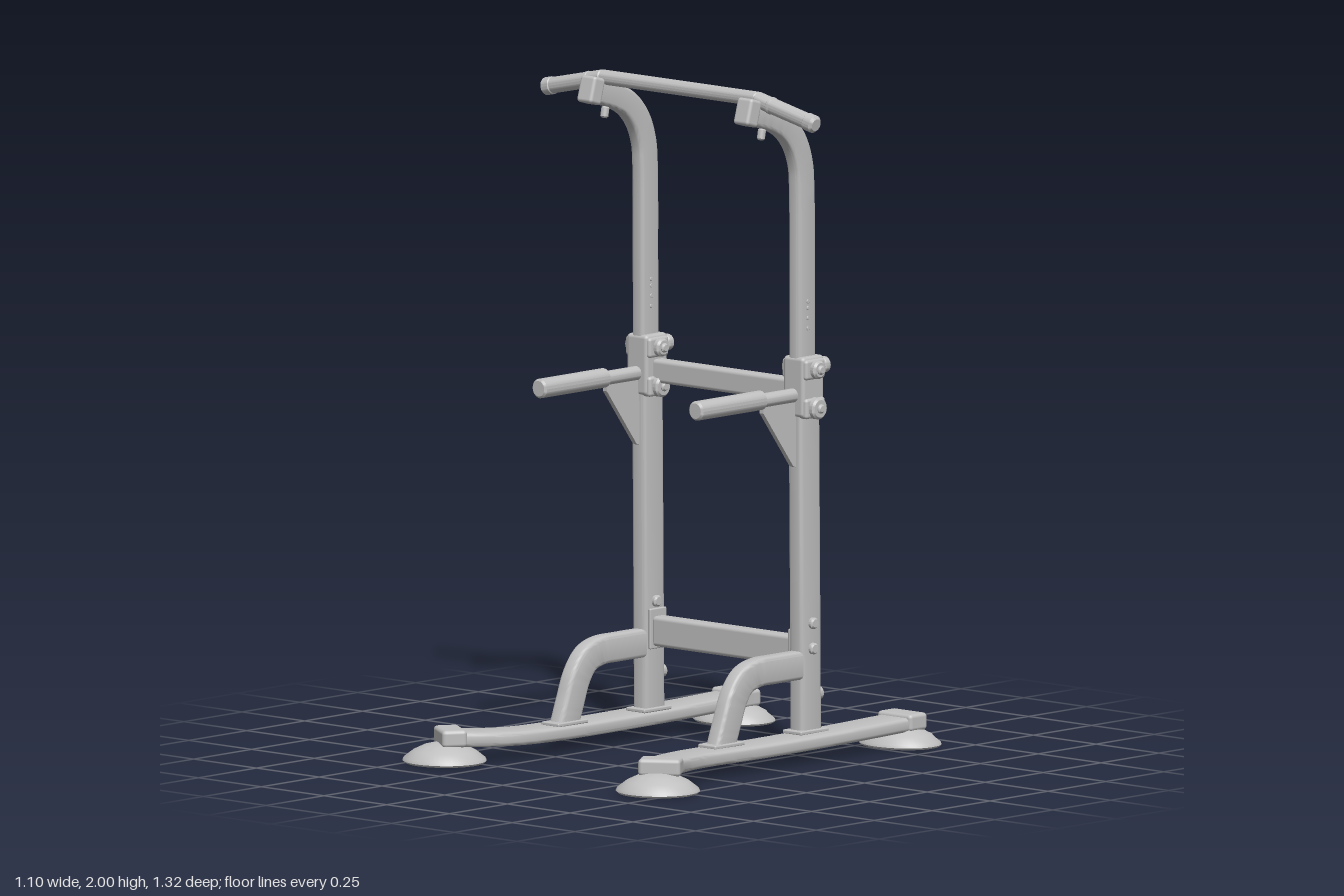
import * as THREE from 'three';
import { toCreasedNormals } from 'three/addons/utils/BufferGeometryUtils.js';
import { RoundedBoxGeometry } from 'three/addons/geometries/RoundedBoxGeometry.js';

const steel = new THREE.MeshStandardMaterial({ color: 0xc0c0c0 });
steel.name = 'grey steel';
const V = (x, y, z) => new THREE.Vector3(x, y, z);

export function createModel() {
  const model = new THREE.Group();
  model.name = 'powerTower';

  function add(name, geometry, x = 0, y = 0, z = 0) {
    const mesh = new THREE.Mesh(geometry, steel);
    mesh.name = name;
    mesh.position.set(x, y, z);
    model.add(mesh);
    return mesh;
  }

  function box(name, w, h, d, x, y, z, r = 0.008) {
    return add(name, new RoundedBoxGeometry(w, h, d, 2, r), x, y, z);
  }

  // Round bar between two points, with softened ends
  function rod(name, a, b, r, bevel = 0.005) {
    const len = a.distanceTo(b);
    const profile = [[0, 0], [r - bevel, 0], [r, bevel], [r, len - bevel], [r - bevel, len], [0, len]]
      .map(([x, y]) => new THREE.Vector2(x, y));
    const mesh = add(name, toCreasedNormals(new THREE.LatheGeometry(profile, 20), 0.6), a.x, a.y, a.z);
    mesh.quaternion.setFromUnitVectors(V(0, 1, 0), b.clone().sub(a).normalize());
    return mesh;
  }

  // Rounded rectangular tube along a smooth path; h is measured along ref, w across it
  function tube(name, points, w, h, ref, steps = 40, r = 0.012) {
    const path = new THREE.CatmullRomCurve3(points, false, 'centripetal');
    const section = [];
    [[1, 1], [-1, 1], [-1, -1], [1, -1]].forEach(([sx, sy], corner) => {
      for (let i = 0; i <= 3; i++) {
        const t = (corner + i / 3) * Math.PI / 2;
        section.push([sx * (w / 2 - r) + r * Math.cos(t), sy * (h / 2 - r) + r * Math.sin(t)]);
      }
    });
    const n = section.length, pos = [], index = [];
    for (let k = 0; k <= steps; k++) {
      const p = path.getPointAt(k / steps), t = path.getTangentAt(k / steps);
      const a = ref.clone().cross(t).normalize(), b = t.clone().cross(a);
      for (const [u, v] of section) {
        const q = p.clone().addScaledVector(a, u).addScaledVector(b, v);
        pos.push(q.x, q.y, q.z);
      }
    }
    for (let k = 0; k < steps; k++) for (let j = 0; j < n; j++) {
      const a = k * n + j, b = k * n + (j + 1) % n;
      index.push(a, b, b + n, a, b + n, a + n);
    }
    const last = steps * n;
    for (let j = 1; j < n - 1; j++) index.push(0, j + 1, j, last, last + j, last + j + 1);
    const g = new THREE.BufferGeometry();
    g.setAttribute('position', new THREE.Float32BufferAttribute(pos, 3));
    g.setIndex(index);
    return add(name, toCreasedNormals(g, 0.7), 0, 0, 0);
  }

  // Low rubber dome; rule reshapes its outline
  function foot(name, x, z, rule) {
    const profile = [[0, 0], [0.95, 0], [1, 0.006], [0.97, 0.014], [0.75, 0.035], [0.5, 0.05], [0.25, 0.058], [0, 0.06]]
      .map(([r, y]) => new THREE.Vector2(r, y));
    const g = new THREE.LatheGeometry(profile, 48), p = g.attributes.position;
    for (let i = 0; i < p.count; i++) {
      const [nx, nz] = rule(p.getX(i), p.getZ(i));
      p.setX(i, nx);
      p.setZ(i, nz);
    }
    add(name, toCreasedNormals(g, 0.6), x, 0, z);
  }

  const X = V(1, 0, 0), Y = V(0, 1, 0);

  for (const s of [1, -1]) {
    const px = s * 0.312, rx = s * 0.331;

    // Lower post, and narrower upper post curving forward at the top
    tube('lowerPost', [V(px, 0.06, -0.221), V(px, 0.6, -0.217), V(px, 1.16, -0.212)], 0.088, 0.054, X, 4);
    tube('upperPost', [V(px, 1.1, -0.206), V(px, 1.4, -0.205), V(px, 1.7, -0.203), V(px, 1.765, -0.197),
      V(px, 1.83, -0.173), V(px, 1.883, -0.128), V(px, 1.913, -0.075), V(px, 1.932, -0.02), V(px, 1.944, 0.025)],
      0.076, 0.046, X, 60);
    box('topEndCap', 0.06, 0.08, 0.05, px, 1.944, 0.03, 0.01).rotation.x = -0.28;
    rod('barBolt', V(px, 1.89, -0.033), V(px, 1.855, -0.026), 0.012);

    // Base rail with an outward sweep at the front
    tube('baseRail', [V(rx, 0.066, -0.62), V(rx, 0.06, -0.3), V(rx, 0.058, 0), V(rx, 0.06, 0.24),
      V(s * 0.343, 0.062, 0.34), V(s * 0.376, 0.066, 0.44), V(s * 0.425, 0.072, 0.53)], 0.12, 0.042, Y, 50);
    box('rearRailCap', 0.136, 0.052, 0.076, rx, 0.071, -0.617, 0.012);
    box('frontRailCap', 0.126, 0.052, 0.076, s * 0.419, 0.074, 0.521, 0.012).rotation.y = s * 0.6;

    // Rubber feet
    foot('frontFoot', s * 0.425, 0.54, (x, z) => [x * 0.126, z * 0.121]);
    foot('rearFoot', rx, -0.605, (x, z) => [x * 0.132, Math.max(z * (z > 0 ? 0.105 : 0.12), -0.058)]);

    // Curved brace from post to rail
    tube('brace', [V(px, 0.282, -0.19), V(px, 0.282, -0.08), V(px, 0.28, 0), V(px, 0.262, 0.053),
      V(px, 0.215, 0.092), V(px, 0.14, 0.122), V(px, 0.06, 0.152)], 0.084, 0.052, X, 40);
    box('braceFootPlate', 0.07, 0.012, 0.13, px, 0.084, 0.143, 0.004);
    box('postFootPlate', 0.075, 0.012, 0.12, px, 0.084, -0.22, 0.004);

    // Adjustable clamp collar: two blocks with side knobs and a rear pin
    box('clampSleeve', 0.082, 0.18, 0.094, px, 1.108, -0.212, 0.012);
    for (const [y, r] of [[1.16, 0.027], [1.045, 0.032]]) {
      box('clampBlock', 0.1, 0.06, 0.085, px, y, -0.212, 0.01);
      rod('clampBolt', V(px - 0.068, y, -0.212), V(px + 0.068, y, -0.212), r, 0.006);
      rod('clampBoltTip', V(px - 0.076, y, -0.212), V(px + 0.076, y, -0.212), 0.014);
    }
    rod('rearPin', V(px, 1.16, -0.25), V(px, 1.16, -0.29), 0.013);
    rod('rearPinKnob', V(px, 1.16, -0.283), V(px, 1.16, -0.308), 0.024);

    // Dip handle with gusset plate
    rod('dipArm', V(px, 1.083, -0.17), V(px, 1.083, 0), 0.021);
    rod('dipGrip', V(px, 1.085, -0.03), V(px, 1.085, 0.257), 0.029, 0.006);
    const web = new THREE.Shape([[0.17, 1.07], [0.17, 0.87], [0.158, 0.875], [0.03, 1.045], [0.03, 1.07]]
      .map(([x, y]) => new THREE.Vector2(x, y)));
    const webGeometry = new THREE.ExtrudeGeometry(web, { depth: 0.016, bevelEnabled: false });
    webGeometry.translate(0, 0, -0.008).rotateY(Math.PI / 2);
    add('dipGusset', webGeometry, px, 0, 0);

    // Lower bolts, crossbar flange and height holes
    for (const y of [0.405, 0.33]) rod('postBolt', V(px - 0.04, y, -0.22), V(px + 0.04, y, -0.22), 0.017);
    box('crossbarFlange', 0.012, 0.12, 0.07, s * 0.279, 0.325, -0.22, 0.004);
    rod('rearPostBolt', V(px, 0.19, -0.25), V(px, 0.19, -0.283), 0.02);
    for (const y of [1.28, 1.31, 1.34, 1.36]) {
      rod('heightStud', V(px - 0.025, y, -0.205), V(px + 0.025, y, -0.205), 0.006, 0.001);
    }

    // Angled outer grip of the pull-up bar
    rod('pullUpGrip', V(s * 0.305, 1.977, -0.018), V(s * 0.537, 1.926, -0.018), 0.024, 0.005);
    rod('pullUpGripCollar', V(s * 0.355, 1.966, -0.018), V(s * 0.372, 1.962, -0.018), 0.026);
    rod('pullUpGripEnd', V(s * 0.5, 1.934, -0.018), V(s * 0.541, 1.925, -0.018), 0.0265, 0.008);
  }

  // Bars joining the two sides
  rod('pullUpBar', V(-0.312, 1.978, -0.018), V(0.312, 1.978, -0.018), 0.022);
  box('middleCrossbar', 0.56, 0.07, 0.046, 0, 1.09, -0.217, 0.012);
  box('lowerCrossbar', 0.56, 0.09, 0.05, 0, 0.318, -0.22, 0.012);

  return model;
}
